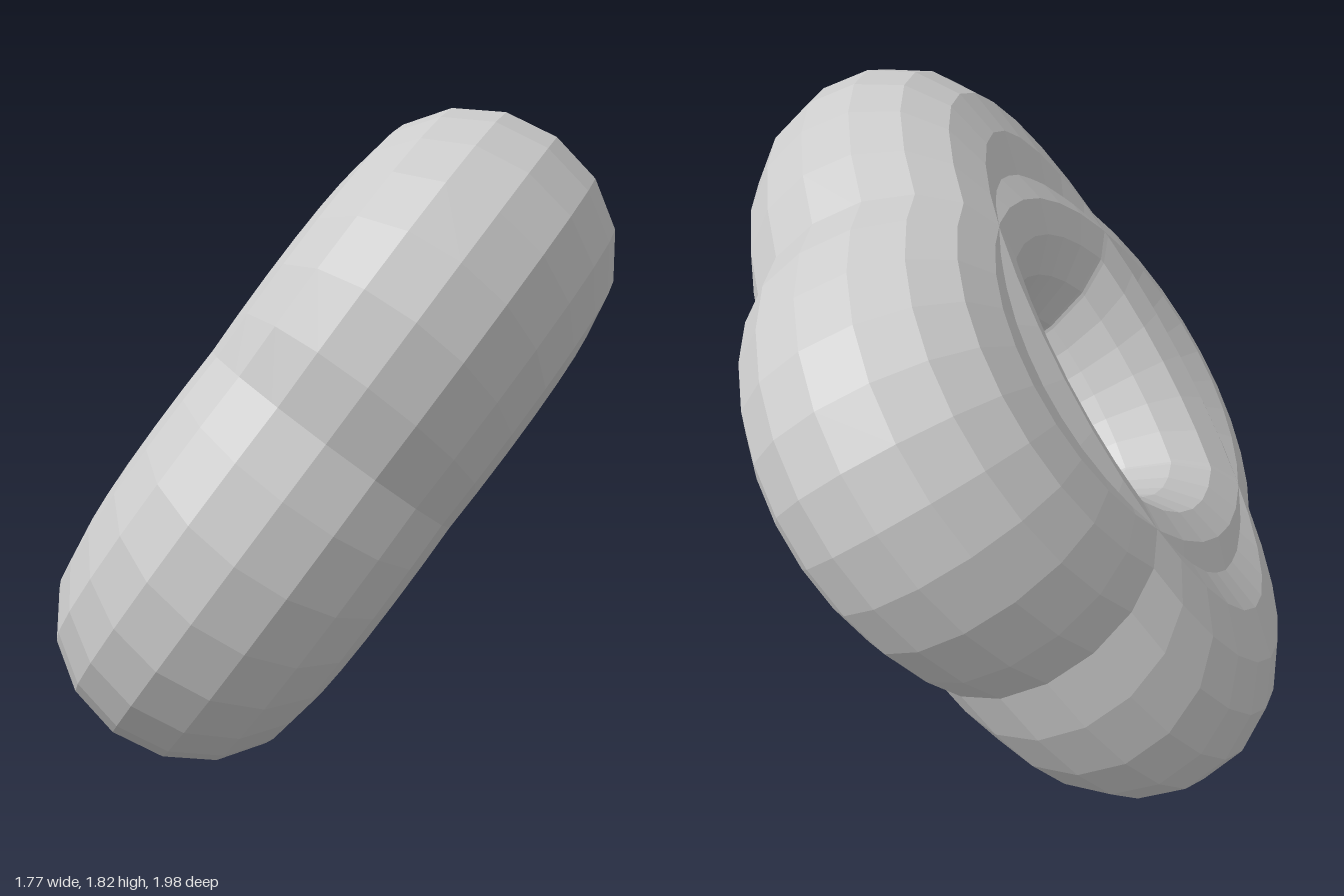
import * as THREE from 'three';

// Two stretched rings crossing at right angles in one tilted plane.
export function createModel() {
  const group = new THREE.Group();
  group.name = 'crossedRings';
  const material = new THREE.MeshStandardMaterial({ color: 0xcccccc, flatShading: true });

  // Ring: a torus narrowed across its short axis
  const ringGeometry = new THREE.TorusGeometry(0.737, 0.36, 16, 32);
  ringGeometry.scale(1, 0.71, 1);

  const pair = new THREE.Group();
  pair.name = 'ringPair';
  ['firstRing', 'secondRing'].forEach((name, i) => {
    const ring = new THREE.Mesh(ringGeometry, material);
    ring.name = name;
    ring.rotation.z = i * Math.PI / 2;
    pair.add(ring);
  });

  // Tilt: local x is the first ring's long axis, local z the axis through the hole
  const axis = new THREE.Vector3(-0.645, 0.576, 0.502).normalize();
  const long = new THREE.Vector3(0.695, 0.717, 0.07).projectOnPlane(axis).normalize();
  const short = new THREE.Vector3().crossVectors(axis, long);
  pair.quaternion.setFromRotationMatrix(new THREE.Matrix4().makeBasis(long, short, axis));
  pair.position.y = 0.915;
  group.add(pair);
  return group;
}
